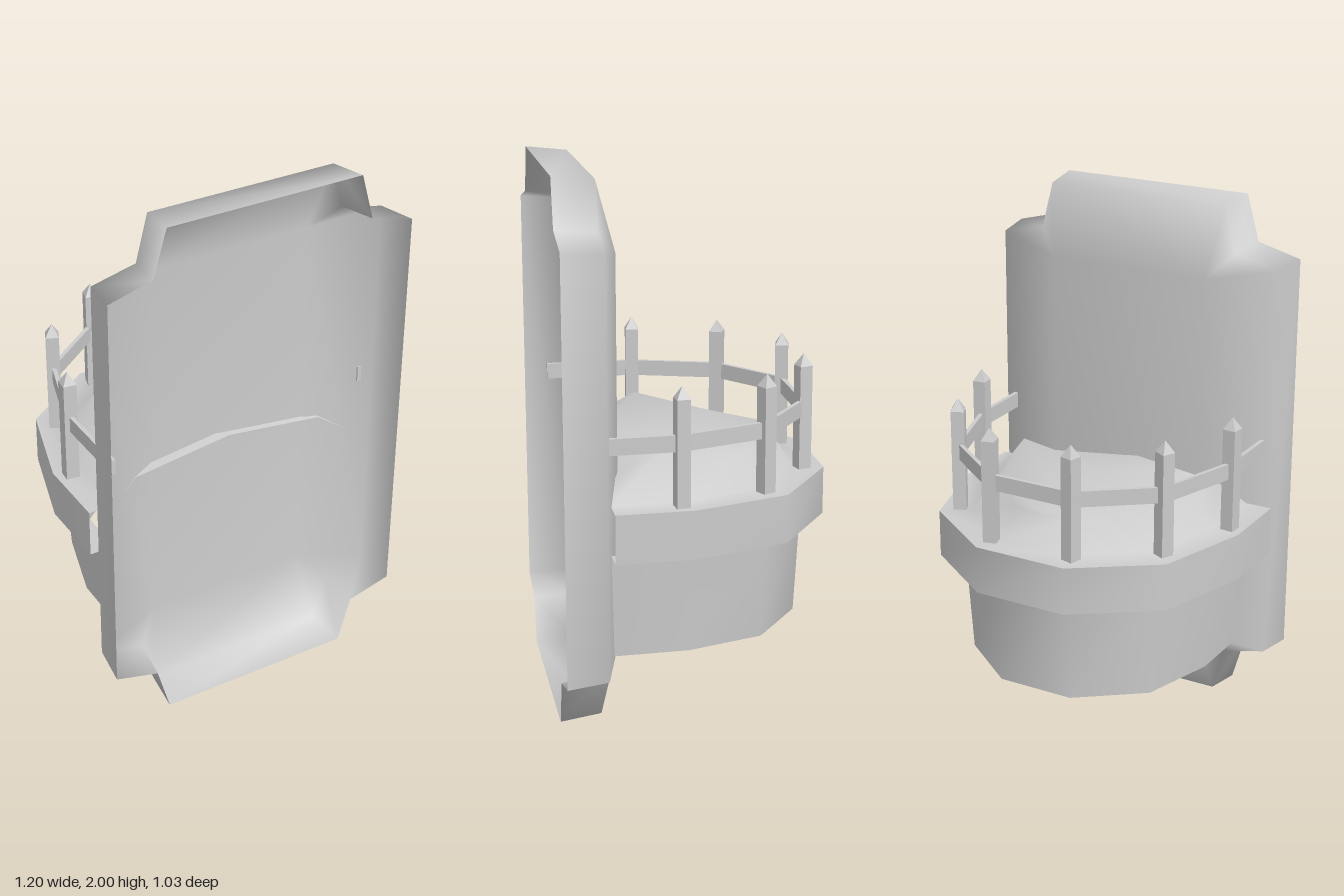
import * as THREE from 'three';
import { mergeVertices } from 'three/addons/utils/BufferGeometryUtils.js';

const material = new THREE.MeshStandardMaterial({ color: 0xcccccc, side: THREE.DoubleSide });
const flatMaterial = new THREE.MeshStandardMaterial({ color: 0xcccccc, flatShading: true });

// Smooth skin through rows of points that all have the same count
function loft(name, rows, closed = false) {
  const n = rows[0].length, index = [];
  for (let r = 0; r < rows.length - 1; r++) {
    for (let i = 0; i < (closed ? n : n - 1); i++) {
      const a = r * n + i, b = r * n + (i + 1) % n;
      index.push(a, b, b + n, a, b + n, a + n);
    }
  }
  let geo = new THREE.BufferGeometry();
  geo.setAttribute('position', new THREE.Float32BufferAttribute(rows.flat(2), 3));
  geo.setIndex(index);
  geo = mergeVertices(geo, 1e-4);
  geo.computeVertexNormals();
  const mesh = new THREE.Mesh(geo, material);
  mesh.name = name;
  return mesh;
}

// Half outline of [x, y, z], running from the panel outwards, mirrored into a full bay
const mirror = (half) => [...half, ...half.map(([x, y, z]) => [-x, y, z]).reverse()];
const level = (half, y) => mirror(half.map(([x, z]) => [x, y, z]));

// Closed panel outline: three points per corner, repeated in four quadrants about y = 1
function panelRow(corner, z) {
  const put = (sx, sy, list) => list.map(([x, y]) => [sx * x, 1 + sy * y, z]);
  const back = [...corner].reverse();
  return [...put(1, 1, corner), ...put(-1, 1, back), ...put(-1, -1, corner), ...put(1, -1, back)];
}

function bar(name, a, b, height, thickness) {
  const from = new THREE.Vector3(...a), to = new THREE.Vector3(...b);
  const mesh = new THREE.Mesh(new THREE.BoxGeometry(thickness, height, from.distanceTo(to)), flatMaterial);
  mesh.position.copy(from).add(to).multiplyScalar(0.5);
  mesh.lookAt(to);
  mesh.name = name;
  return mesh;
}

function createPost(x, z, turn) {
  const post = new THREE.Group();
  const shaft = new THREE.Mesh(new THREE.BoxGeometry(0.05, 0.4, 0.05), flatMaterial);
  shaft.position.y = 1.045;
  shaft.name = 'postShaft';
  const tip = new THREE.Mesh(new THREE.ConeGeometry(0.0354, 0.045, 4).rotateY(Math.PI / 4), flatMaterial);
  tip.position.y = 1.2675;
  tip.name = 'postTip';
  post.add(shaft, tip);
  post.position.set(x, 0, z);
  post.rotation.y = turn;
  post.name = 'railingPost';
  return post;
}

export function createModel() {
  const model = new THREE.Group();
  model.name = 'panelWithBalcony';

  // Hollow panel with notched corners, open towards the front
  const flat = [0.32, 0.72];
  model.add(loft('backPanel', [
    panelRow([[0.6, 0.78], [0.43, 0.825], [0.38, 1]], 0.513),
    panelRow([[0.58, 0.77], [0.41, 0.81], [0.365, 0.985]], 0.36),
    panelRow([flat, flat, flat], 0.285),
    panelRow([[0, 0], [0, 0], [0, 0]], 0.285),
  ], true));

  const balcony = new THREE.Group();
  balcony.name = 'balcony';
  balcony.position.x = -0.008;
  model.add(balcony);

  // Tapered lower wall, open underneath
  const wallTop = [[0.5, 0.335], [0.49, 0.05], [0.405, -0.25], [0.155, -0.435]];
  const wallBottom = [[0.475, 0.325], [0.47, 0.05], [0.385, -0.235], [0.148, -0.415]];
  balcony.add(loft('lowerWall', [level(wallBottom, 0.28), level(wallTop, 0.672)]));

  // Overhanging rim: underside ledge and outer band
  const outer = [[0.592, 0.335], [0.59, 0.05], [0.482, -0.305], [0.182, -0.515]];
  balcony.add(loft('rimUnderside', [level(wallTop, 0.672), level(outer, 0.672)]));
  balcony.add(loft('rimBand', [level(outer, 0.672), level(outer, 0.853)]));

  // Floor: flat border, raised slope with a side ridge, shallow middle
  const border = [[0.49, 0.335], [0.48, 0.05], [0.385, -0.23], [0.145, -0.405]];
  const ridge = [[0.39, 0.92, 0.31], [0.36, 1.03, 0.11], [0.3, 0.96, -0.17], [0.12, 0.96, -0.34]];
  const middle = [[0, 0.97, 0.31], [0, 0.975, 0.11], [0, 0.962, -0.17], [0, 0.96, -0.34]];
  balcony.add(loft('floor', [level(outer, 0.853), level(border, 0.853), mirror(ridge), mirror(middle)]));

  // Railing: six pointed posts joined by flat rails running into the panel
  const posts = [[0.537, 0.09, 0.1], [0.432, -0.235, 0.45], [0.167, -0.435, 0.25]];
  for (const side of [1, -1]) {
    for (const [x, z, turn] of posts) balcony.add(createPost(side * x, z, side * turn));
  }
  const endZ = [0.35, 0.43];
  const stops = [[0.54, endZ[0]], ...posts, ...[...posts].reverse().map(([x, z]) => [-x, z]), [-0.54, endZ[1]]];
  for (let i = 0; i < stops.length - 1; i++) {
    const [a, b] = [stops[i], stops[i + 1]];
    balcony.add(bar('rail', [a[0], 1.085, a[1]], [b[0], 1.085, b[1]], 0.06, 0.016));
  }
  return model;
}
